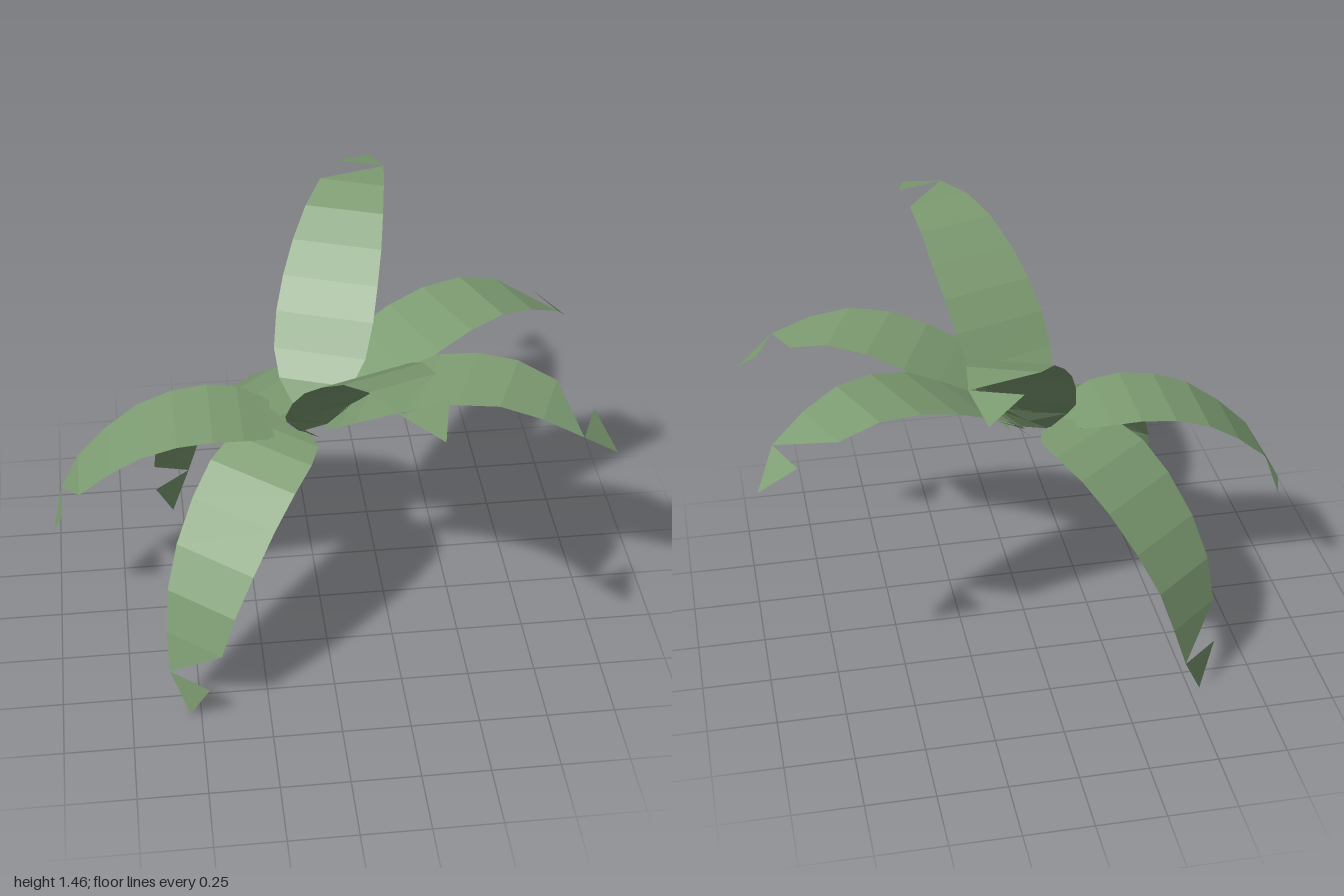
import * as THREE from 'three';

const leafGreen = new THREE.MeshStandardMaterial({ color: 0x7d9c72, side: THREE.DoubleSide, flatShading: true });
leafGreen.name = 'leafGreen';

const CENTRE_X = -0.04;
const KEEL = 0.042;
// Half width of the blade at each ring, base to tip
const WIDTHS = [0.06, 0.135, 0.172, 0.182, 0.178, 0.167, 0.147, 0.122, 0.09, 0];

// Blade profiles: distance from the centre and height, base to tip
const PROFILES = {
  upright: [[0.05, 0.85], [0.1, 0.95], [0.17, 1.03], [0.25, 1.14], [0.34, 1.24], [0.45, 1.33], [0.57, 1.41], [0.7, 1.455], [0.85, 1.455], [0.997, 1.415]],
  arching: [[0.08, 0.87], [0.15, 0.94], [0.22, 1.0], [0.32, 1.055], [0.44, 1.11], [0.58, 1.15], [0.73, 1.16], [0.877, 1.12], [1.02, 1.05], [1.13, 0.945]],
  level: [[0.08, 0.855], [0.16, 0.875], [0.25, 0.9], [0.36, 0.91], [0.49, 0.895], [0.62, 0.85], [0.74, 0.77], [0.85, 0.67], [0.92, 0.55], [0.96, 0.41]],
  drooping: [[0.08, 0.86], [0.14, 0.87], [0.24, 0.865], [0.36, 0.82], [0.48, 0.73], [0.6, 0.6], [0.69, 0.46], [0.74, 0.31], [0.775, 0.16], [0.78, 0]],
};

function makeLeaf(name, profile, degrees) {
  const a = THREE.MathUtils.degToRad(degrees);
  const c = Math.cos(a), s = Math.sin(a);
  // Distance out, height and sideways offset to a point
  const point = (r, y, side) => [CENTRE_X + r * c + side * s, y, r * s - side * c];

  const rings = profile.map(([r, y], i) => {
    const p = profile[Math.max(i - 1, 0)];
    const n = profile[Math.min(i + 1, profile.length - 1)];
    const dr = n[0] - p[0], dy = n[1] - p[1], len = Math.hypot(dr, dy);
    return {
      left: point(r, y, WIDTHS[i]),
      right: point(r, y, -WIDTHS[i]),
      keel: point(r + KEEL * dy / len, y - KEEL * dr / len, 0),
    };
  });

  const pos = [];
  const tri = (...corners) => corners.forEach((v) => pos.push(...v));
  const last = rings.length - 2;
  for (let i = 0; i < last; i++) {
    const p = rings[i], q = rings[i + 1];
    // Blade, cut diagonally at its outer end
    tri(p.left, p.right, q.right);
    if (i < last - 1) {
      tri(p.left, q.right, q.left);
      // Jagged underside running to the keel
      tri(p.left, q.left, q.keel);
      tri(p.right, p.keel, q.right);
    }
  }
  // Loose pointed tip
  tri(rings[last].left, rings[last].right, rings[last + 1].left);

  const geometry = new THREE.BufferGeometry();
  geometry.setAttribute('position', new THREE.Float32BufferAttribute(pos, 3));
  geometry.computeVertexNormals();
  const mesh = new THREE.Mesh(geometry, leafGreen);
  mesh.name = name;
  return mesh;
}

export function createModel() {
  const plant = new THREE.Group();
  plant.name = 'leafCrown';
  // Paired leaves, front and back
  for (const [kind, angle] of [['upright', 70.4], ['arching', 23], ['drooping', 129.8]]) {
    plant.add(makeLeaf(kind + 'LeafFront', PROFILES[kind], angle));
    plant.add(makeLeaf(kind + 'LeafBack', PROFILES[kind], -angle));
  }
  // Single leaf on the right side
  plant.add(makeLeaf('levelLeaf', PROFILES.level, 180));
  return plant;
}
